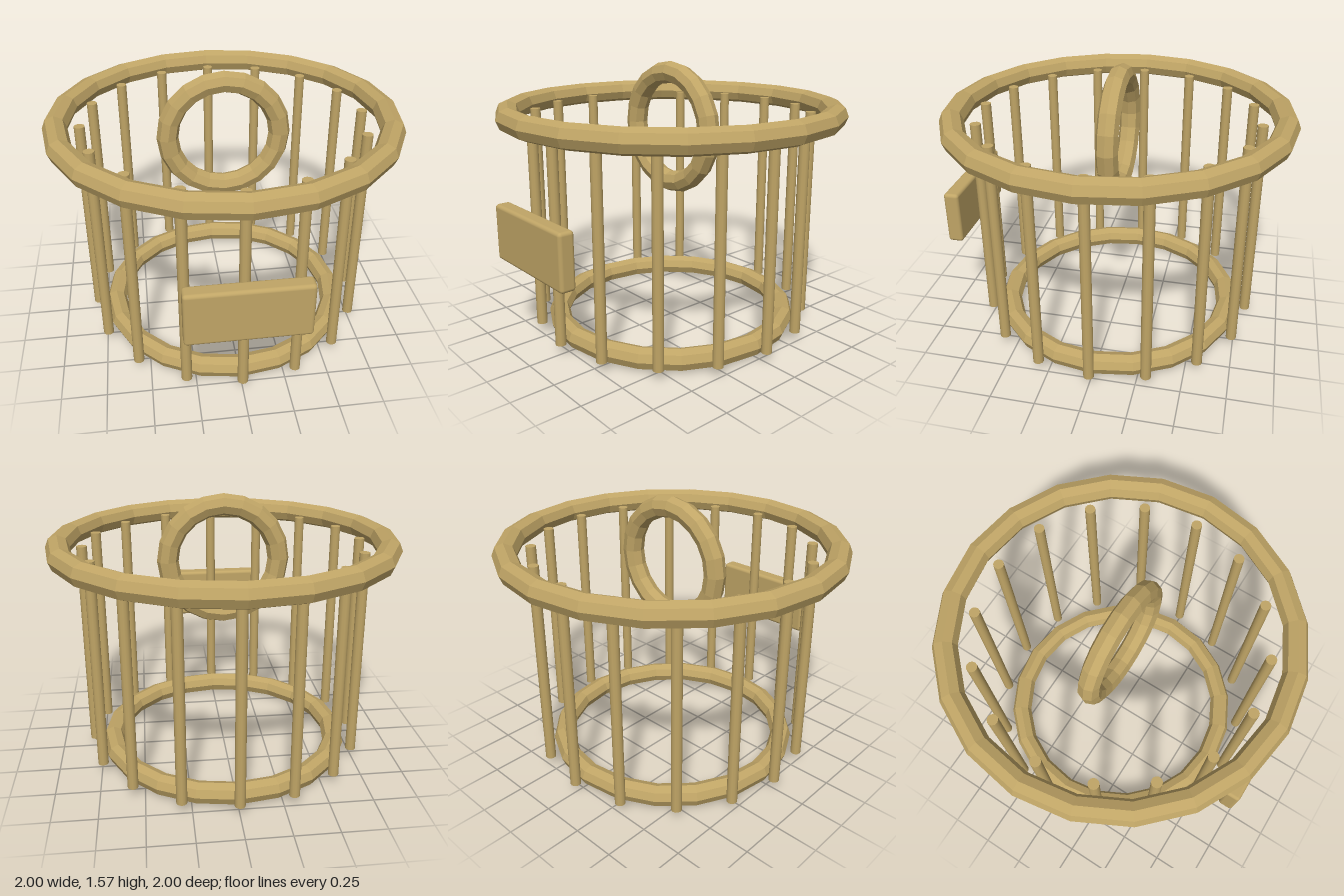
import * as THREE from 'three';
import { RoundedBoxGeometry } from 'three/addons/geometries/RoundedBoxGeometry.js';

export function createModel() {
  const model = new THREE.Group();
  model.name = 'barredBasket';
  const flat = new THREE.MeshStandardMaterial({ color: 0xc0a566, flatShading: true });
  const smooth = new THREE.MeshStandardMaterial({ color: 0xc0a566 });

  const add = (name, geometry, material, x, y, z) => {
    const mesh = new THREE.Mesh(geometry, material);
    mesh.name = name;
    mesh.position.set(x, y, z);
    model.add(mesh);
    return mesh;
  };
  // Low-poly ring with an octagonal section
  const ring = (name, radius, tube, y) =>
    add(name, new THREE.TorusGeometry(radius, tube, 8, 20), flat, 0, y, 0);

  // Horizontal rings at the base and the rim
  const baseY = 0.064, rimY = 1.289;
  ring('baseRing', 0.688, 0.062, baseY).rotation.x = Math.PI / 2;
  ring('rimRing', 0.932, 0.068, rimY).rotation.x = Math.PI / 2;

  // Upright carrying ring in the middle
  ring('handleRing', 0.32, 0.062, 1.187);

  // Sixteen upright bars, from ring centre to ring centre
  const barGeometry = new THREE.CylinderGeometry(0.03, 0.03, rimY - baseY, 12);
  for (let i = 0; i < 16; i++) {
    const a = (i / 16) * Math.PI * 2;
    add(`bar${i + 1}`, barGeometry, smooth, 0.8 * Math.sin(a), (baseY + rimY) / 2, 0.8 * Math.cos(a));
  }

  // Plate in front of the bars
  add('frontPlate', new RoundedBoxGeometry(0.66, 0.316, 0.09, 3, 0.02), smooth, 0, 0.678, 0.934);

  return model;
}
